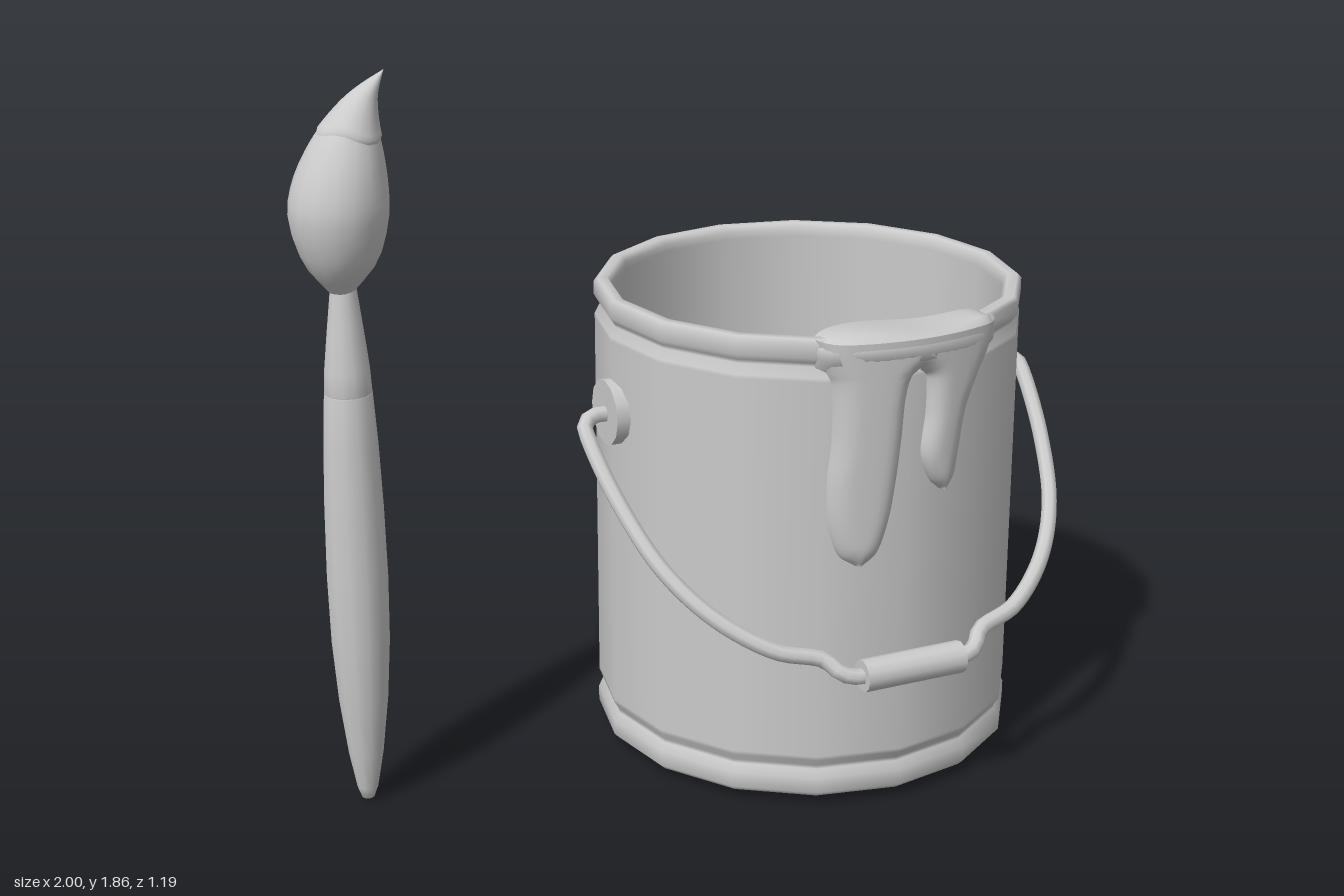
import * as THREE from 'three';
import { mergeVertices } from 'three/addons/utils/BufferGeometryUtils.js';

const CX = 0.345, CZ = -0.045, SIDES = 16;
const mat = new THREE.MeshStandardMaterial({ color: 0xcccccc });
const thin = new THREE.MeshStandardMaterial({ color: 0xcccccc, side: THREE.DoubleSide });

function add(parent, name, geometry, x = 0, y = 0, z = 0, material = mat) {
  const mesh = new THREE.Mesh(geometry, material);
  mesh.name = name;
  mesh.position.set(x, y, z);
  parent.add(mesh);
  return mesh;
}

// Smooth skin over rows of [x, y, z] points
function loft(rows) {
  const n = rows[0].length, index = [];
  for (let i = 0; i < rows.length - 1; i++)
    for (let j = 0; j < n - 1; j++) {
      const a = i * n + j, d = a + n;
      index.push(a, a + 1, d + 1, a, d + 1, d);
    }
  let g = new THREE.BufferGeometry();
  g.setAttribute('position', new THREE.Float32BufferAttribute(rows.flat(2), 3));
  g.setIndex(index);
  g = mergeVertices(g, 1e-5);
  g.computeVertexNormals();
  return g;
}

const lathe = (pts, sides) => new THREE.LatheGeometry(pts.map(p => new THREE.Vector2(...p)), sides);

function makeBucket() {
  const bucket = new THREE.Group();
  bucket.name = 'bucket';

  // Wall with beads at the foot and under the rim, turning over to the inside
  add(bucket, 'bucketWall', lathe([
    [0.5, 0.045], [0.51, 0.028], [0.535, 0.025], [0.55, 0.04], [0.55, 0.08], [0.535, 0.1],
    [0.535, 0.11], [0.548, 0.13], [0.548, 0.14], [0.548, 1.13], [0.548, 1.14], [0.535, 1.165],
    [0.538, 1.175], [0.55, 1.19], [0.55, 1.225], [0.54, 1.235], [0.515, 1.235], [0.505, 1.22],
    [0.505, 1.2], [0.505, 0.8],
  ], SIDES), CX, 0, CZ);
  add(bucket, 'bucketBase', new THREE.CircleGeometry(0.505, SIDES).rotateX(Math.PI / 2), CX, 0.042, CZ);

  // Paint inside, higher toward the front
  const paint = new THREE.CircleGeometry(0.506, SIDES).rotateX(-Math.PI / 2);
  const p = paint.attributes.position;
  for (let i = 0; i < p.count; i++) p.setY(i, 0.31 * p.getZ(i));
  paint.computeVertexNormals();
  add(bucket, 'paintSurface', paint, CX, 1.0, CZ);
  return bucket;
}

function makeHandle() {
  const handle = new THREE.Group();
  handle.name = 'handle';
  // Half of the wire as [distance from middle, height]; it leans forward as it drops
  const half = [[0.54, 0.94], [0.6, 0.94], [0.628, 0.925], [0.63, 0.89], [0.605, 0.765], [0.55, 0.635],
    [0.46, 0.535], [0.335, 0.46], [0.22, 0.43], [0.185, 0.4], [0.15, 0.39], [0.1, 0.39]];
  const leanZ = y => CZ + (0.942 - y) * 1.08;
  for (const s of [-1, 1]) {
    const side = s < 0 ? 'right' : 'left';
    const curve = new THREE.CatmullRomCurve3(half.map(([d, y]) => new THREE.Vector3(CX + s * d, y, leanZ(y))));
    add(handle, side + 'HandleWire', new THREE.TubeGeometry(curve, 44, 0.021, 8));
    add(handle, side + 'HandleEar', new THREE.CylinderGeometry(0.085, 0.085, 0.05, 12).rotateZ(Math.PI / 2),
      CX + s * 0.542, 0.945, CZ);
  }
  add(handle, 'handleGrip', new THREE.CylinderGeometry(0.041, 0.041, 0.275, 12).rotateZ(Math.PI / 2),
    CX, 0.39, leanZ(0.39));
  return handle;
}

function makeDrip() {
  const drip = new THREE.Group();
  drip.name = 'paintDrip';
  const seam = 0.367, notch = 1.148;
  // Each run as [height, left edge, right edge], from its tip to the rim
  const runs = {
    longDrip: [[0.655, 0.215, 0.235], [0.685, 0.175, 0.27], [0.765, 0.148, 0.298], [0.87, 0.143, 0.315],
      [0.98, 0.153, 0.326], [1.085, 0.153, 0.334], [1.13, 0.149, 0.346], [1.15, 0.142, seam],
      [1.2, 0.125, seam], [1.235, 0.118, seam]],
    shortDrip: [[0.825, 0.44, 0.465], [0.855, 0.41, 0.484], [0.925, 0.382, 0.497], [1.03, 0.393, 0.516],
      [1.11, 0.393, 0.553], [1.13, 0.388, 0.566], [1.15, seam, 0.578], [1.2, seam, 0.6], [1.235, seam, 0.605]],
  };
  const edge = [], sampled = {};
  for (const name in runs) {
    sampled[name] = new THREE.CatmullRomCurve3(runs[name].map(r => new THREE.Vector3(...r))).getPoints(54);
    for (const { x: y, y: xl, z: xr } of sampled[name])
      for (const x of [xl, xr])
        if (y < notch || Math.abs(x - seam) > 0.03) edge.push([x, y]);
  }
  // Thickness swells with distance from the outline
  const radiusAt = (x, y) => {
    const d = Math.min(...edge.map(e => Math.hypot(e[0] - x, e[1] - y)));
    const k = 1 - Math.min(d / 0.05, 1);
    return 0.535 + (0.034 + 0.018 * (y - 0.65) / 0.6) * Math.sqrt(1 - k * k);
  };
  for (const name in sampled) {
    const rows = sampled[name].map(({ x: y, y: xl, z: xr }) => {
      const row = [];
      for (let j = 0; j <= 16; j++) {
        const x = xl + (xr - xl) * (1 - Math.cos(Math.PI * j / 16)) / 2;
        row.push([x, y, CZ + Math.sqrt(radiusAt(x, y) ** 2 - (x - CX) ** 2)]);
      }
      return row;
    });
    add(drip, name, loft(rows), 0, 0, 0, thin);
  }

  // Thick fold of paint over the rim, straight on the inside and curved outside
  const rows = [];
  for (let i = 0; i <= 24; i++) {
    const u = Math.sin((i / 12 - 1) * Math.PI / 2);
    const x = 0.361 + 0.245 * u;
    const s = Math.sqrt(Math.max(0, 1 - Math.abs(u) ** 10));
    const zo = Math.sqrt(0.588 ** 2 - (x - CX) ** 2), zi = 0.415, zm = (zo + zi) / 2;
    const top = 1.243 + 0.006 * Math.cos(u * 4 + 2);
    const loop = [[zi + 0.07, 1.11], [zi + 0.02, 1.125], [zi, 1.18], [zi + 0.004, 1.22], [zi + 0.025, top],
      [zo - 0.035, top], [zo - 0.01, 1.235], [zo, 1.215], [zo - 0.004, 1.18], [zo - 0.05, 1.14], [zi + 0.07, 1.11]];
    rows.push(loop.map(([z, y]) => [x, 1.2 + (y - 1.2) * s, CZ + zm + (z - zm) * s]));
  }
  add(drip, 'rimPaint', loft(rows), 0, 0, 0, thin);
  return drip;
}

function makeBrush() {
  const brush = new THREE.Group();
  brush.name = 'brush';
  brush.position.set(-0.882, 0, CZ);
  add(brush, 'brushHandle', lathe([[0, 0], [0.016, 0.008], [0.027, 0.04], [0.045, 0.14], [0.063, 0.29],
    [0.074, 0.45], [0.077, 0.62], [0.074, 0.8], [0.068, 0.96], [0.06, 1.09], [0.05, 1.095]], 12));
  add(brush, 'brushFerrule', lathe([[0.05, 1.085], [0.059, 1.095], [0.056, 1.15], [0.047, 1.23],
    [0.036, 1.32], [0.031, 1.36]], 12));

  // Bristle sections as [height, sideways bend, radius]
  const curve = new THREE.CatmullRomCurve3([
    [1.345, -0.004, 0.03], [1.42, -0.003, 0.088], [1.53, -0.003, 0.118], [1.61, 0.005, 0.111],
    [1.68, 0.018, 0.091], [1.735, 0.032, 0.068], [1.8, 0.062, 0.038], [1.83, 0.086, 0.022], [1.862, 0.12, 0.001],
  ].map(v => new THREE.Vector3(...v)));
  const skin = (start, swell, wave) => {
    const rows = [];
    for (let i = 0; i <= 20; i++) {
      const row = [];
      for (let j = 0; j <= 16; j++) {
        const a = (j % 16) / 16 * Math.PI * 2;
        const t0 = start + wave * (Math.sin(a) + 0.5 * Math.sin(3 * a));
        const { x: y, y: bend, z: r } = curve.getPoint(t0 + (1 - t0) * i / 20);
        const k = r * (i === 0 ? 1 : swell);
        row.push([bend + k * Math.sin(a), y, k * Math.cos(a) * 1.04]);
      }
      rows.push(row);
    }
    return loft(rows);
  };
  add(brush, 'bristles', skin(0, 1, 0));
  add(brush, 'bristlePaint', skin(0.585, 1.07, -0.03));
  return brush;
}

export function createModel() {
  const model = new THREE.Group();
  model.name = 'paintBucketAndBrush';
  model.add(makeBucket(), makeHandle(), makeDrip(), makeBrush());
  return model;
}
